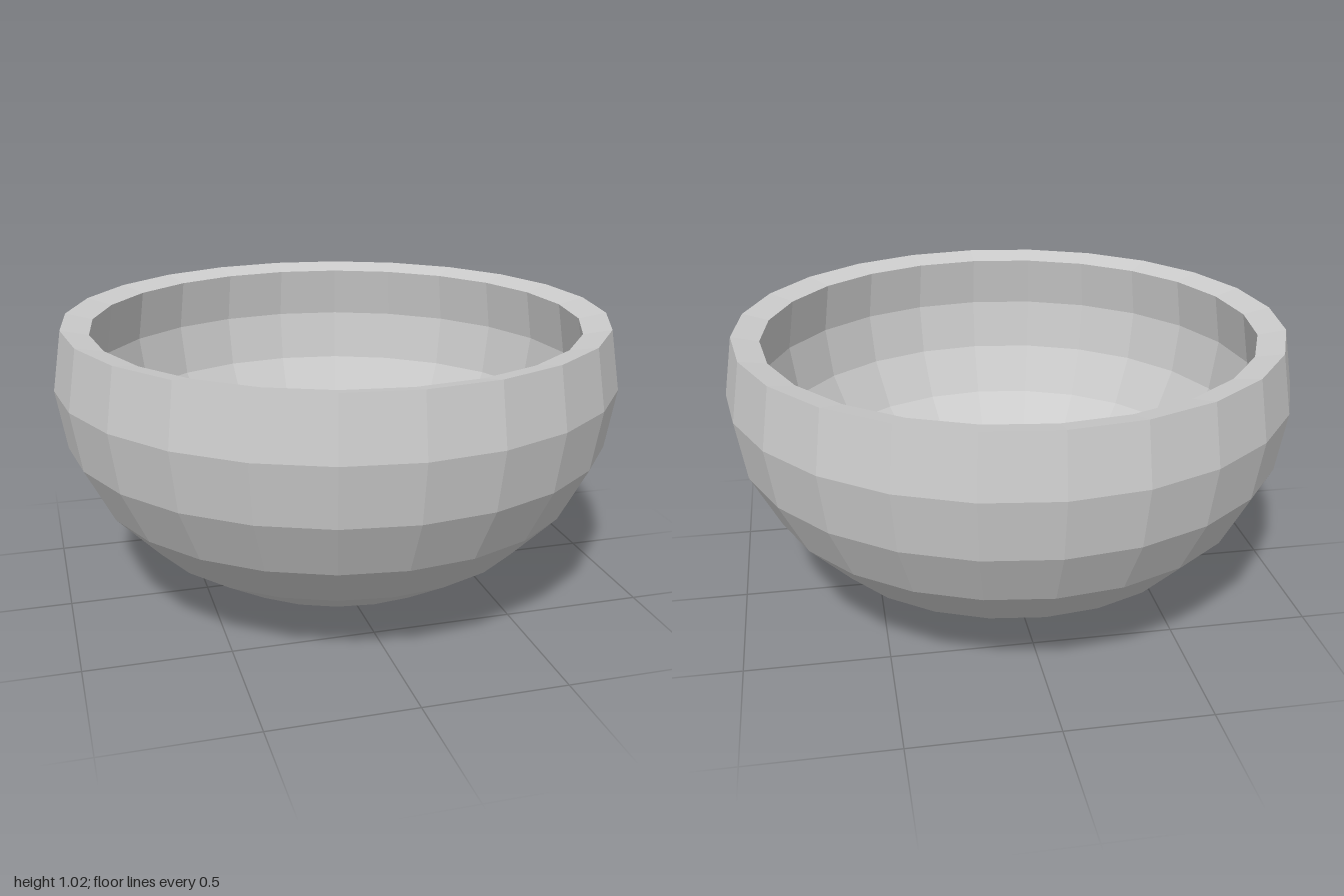
import * as THREE from 'three';

const SIDES = 24;      // facets around the bowl
const SQUASH = 0.81;   // height of the sphere relative to its radius
const INNER = 0.9;     // inner shell scale

// Points on a squashed sphere, from the bottom pole up to 15 degrees above the equator
function shellProfile(scale) {
  const points = [];
  for (let i = 0; i <= 7; i++) {
    const a = THREE.MathUtils.degToRad(15 * i);
    const r = i === 0 ? 0 : Math.sin(a) * scale;
    points.push(new THREE.Vector2(r, SQUASH - SQUASH * scale * Math.cos(a)));
  }
  return points;
}

export function createModel() {
  const group = new THREE.Group();
  group.name = 'bowl';

  const material = new THREE.MeshStandardMaterial({ color: 0xcccccc, flatShading: true });
  const outer = shellProfile(1);
  const inner = shellProfile(INNER).reverse();

  const addRing = (name, profile) => {
    const mesh = new THREE.Mesh(new THREE.LatheGeometry(profile, SIDES), material);
    mesh.name = name;
    group.add(mesh);
  };

  // Outside wall, rim sloping slightly inward, and hollow inside wall
  addRing('outerWall', outer);
  addRing('rim', [outer[outer.length - 1], inner[0]]);
  addRing('innerWall', inner);

  return group;
}
